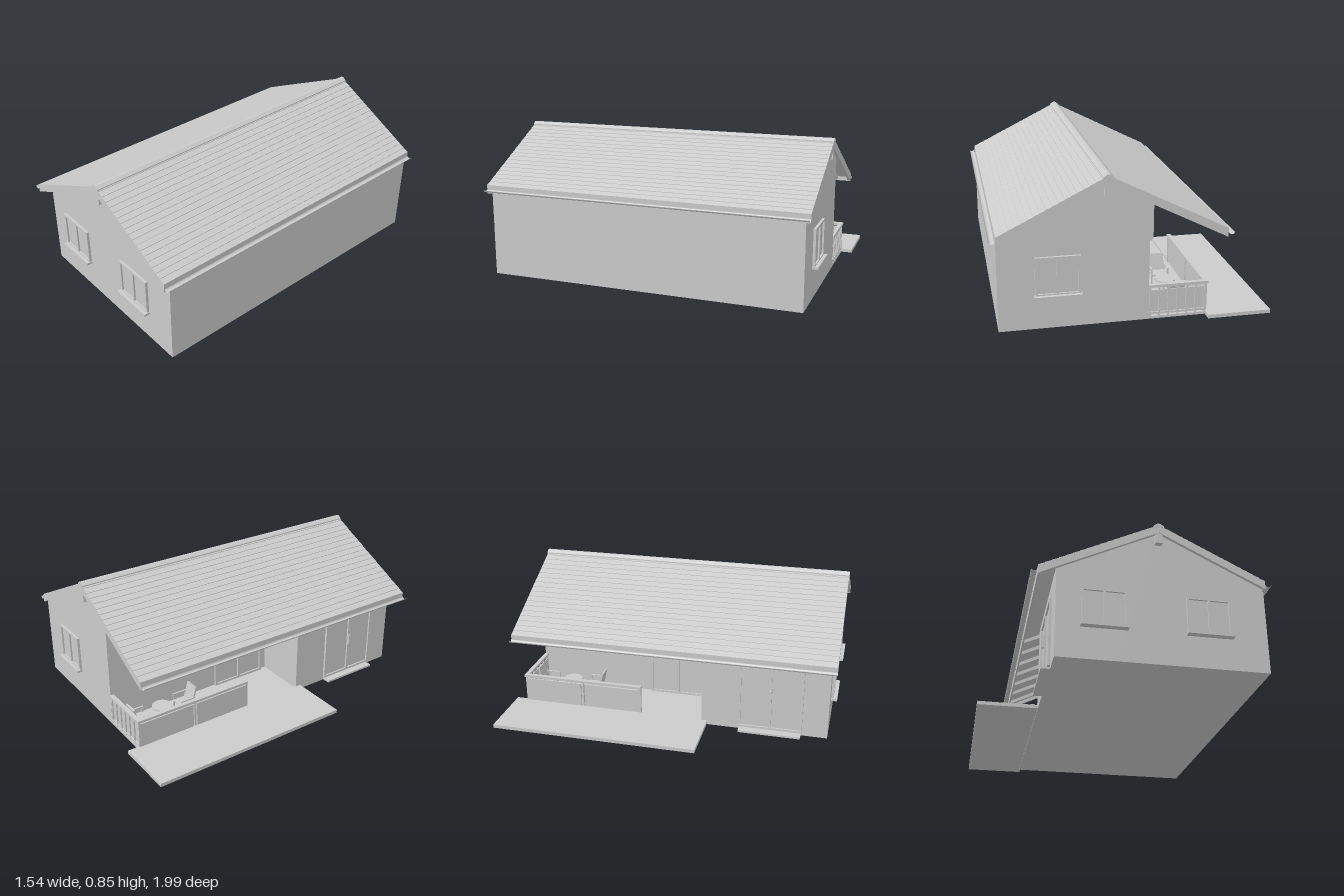
import * as THREE from 'three';

const grey = new THREE.MeshStandardMaterial({ color: 0xcccccc, flatShading: true });
const open = new THREE.MeshStandardMaterial({ color: 0xcccccc, side: THREE.DoubleSide });

const RIDGE = 0.14, LEFT = -0.52, RIGHT = 0.73;   // roof lines in x
const FRONT = 0.955, BACK = -0.93;                // gable walls in z
const INNER = -0.09, PORCH = 0.2;                 // porch recess
const roofY = (x, drop = 0) => 0.84 - Math.abs(x - RIDGE) * 0.5 - drop;

function add(parent, name, geo, x = 0, y = 0, z = 0, mat = grey) {
  const m = new THREE.Mesh(geo, mat);
  m.name = name;
  m.position.set(x, y, z);
  parent.add(m);
  return m;
}

// box given by its minimum and maximum corners
function block(parent, name, x0, x1, y0, y1, z0, z1) {
  return add(parent, name, new THREE.BoxGeometry(x1 - x0, y1 - y0, z1 - z0),
    (x0 + x1) / 2, (y0 + y1) / 2, (z0 + z1) / 2);
}

// xy outline extruded from z0 to z1
function prism(parent, name, pts, z0, z1) {
  const shape = new THREE.Shape(pts.map(p => new THREE.Vector2(...p)));
  return add(parent, name, new THREE.ExtrudeGeometry(shape, { depth: z1 - z0, bevelEnabled: false }), 0, 0, z0);
}

// framed glazing, facing +z, standing on its local y = 0
function glazing(parent, name, w, h, panes, sill) {
  const g = new THREE.Group();
  g.name = name;
  const f = 0.013, pw = (w - f) / panes;
  const frame = new THREE.Shape([[-w / 2, 0], [w / 2, 0], [w / 2, h], [-w / 2, h]].map(p => new THREE.Vector2(...p)));
  for (let i = 0; i < panes; i++) {
    const x0 = -w / 2 + f + i * pw, x1 = x0 + pw - f;
    frame.holes.push(new THREE.Path([[x0, f], [x0, h - f], [x1, h - f], [x1, f]].map(p => new THREE.Vector2(...p))));
  }
  add(g, 'frame', new THREE.ExtrudeGeometry(frame, { depth: 0.015, bevelEnabled: false }));
  block(g, 'glass', -w / 2 + f, w / 2 - f, f, h - f, 0, 0.005);
  if (sill) block(g, 'sill', -w / 2 - 0.006, w / 2 + 0.006, -0.008, 0.006, 0, 0.036);
  parent.add(g);
  return g;
}

function chair(parent, x, z, turn) {
  const g = new THREE.Group();
  g.name = 'chair';
  block(g, 'seat', -0.045, 0.045, 0.075, 0.085, -0.045, 0.045);
  const back = block(g, 'backrest', -0.045, 0.045, 0.08, 0.18, -0.055, -0.045);
  back.rotation.x = -0.25;
  for (const sx of [-1, 1]) {
    block(g, 'armrest', sx * 0.05 - 0.005, sx * 0.05 + 0.005, 0.115, 0.122, -0.05, 0.045);
    for (const sz of [-1, 1])
      block(g, 'leg', sx * 0.048 - 0.004, sx * 0.048 + 0.004, 0, 0.118, sz * 0.04 - 0.004, sz * 0.04 + 0.004);
  }
  g.position.set(x, 0.015, z);
  g.rotation.y = turn;
  parent.add(g);
}

export function createModel() {
  const house = new THREE.Group();
  house.name = 'house';

  // floor and walls
  block(house, 'floorSlab', -0.42, RIGHT, 0, 0.015, BACK, FRONT);
  prism(house, 'mainWalls', [[INNER, 0], [RIGHT, 0], [RIGHT, roofY(RIGHT, 0.03)], [RIDGE, roofY(RIDGE, 0.03)],
    [INNER, roofY(INNER, 0.03)]], BACK, FRONT);
  prism(house, 'wingWalls', [[-0.42, 0], [INNER, 0], [INNER, roofY(INNER, 0.03)], [-0.42, roofY(-0.42, 0.03)]], PORCH, FRONT);

  // roof slopes with shallow tile courses
  const roof = new THREE.Group();
  roof.name = 'roof';
  house.add(roof);
  for (const [name, eave] of [['leftSlope', LEFT], ['rightSlope', RIGHT]]) {
    const pts = [[RIDGE, roofY(RIDGE, 0.028)], [eave, roofY(eave, 0.028)]];
    const n = 18;
    for (let i = 0; i < n; i++) {
      const a = eave + (RIDGE - eave) * i / n, b = eave + (RIDGE - eave) * (i + 1) / n;
      pts.push([a, roofY(a)], [b, roofY(b, 0.003)]);
    }
    if (eave > RIDGE) pts.reverse();
    prism(roof, name, pts, -0.955, 0.99);
    // verge boards along both gables
    for (const z of [-0.955, 0.972]) {
      const board = [[RIDGE, roofY(RIDGE, 0.052)], [eave, roofY(eave, 0.052)], [eave, roofY(eave, 0.003)], [RIDGE, roofY(RIDGE, 0.003)]];
      prism(roof, 'vergeBoard', eave > RIDGE ? board.reverse() : board, z, z + 0.018);
    }
    // fascia and half-round gutter
    const s = Math.sign(eave - RIDGE);
    block(roof, 'fascia', Math.min(eave, eave - s * 0.01), Math.max(eave, eave - s * 0.01),
      roofY(eave, 0.05), roofY(eave, 0.005), -0.955, 0.99);
    const gutter = add(roof, 'gutter', new THREE.CylinderGeometry(0.016, 0.016, 1.945, 12, 1, true, -Math.PI / 2, Math.PI),
      eave + s * 0.02, roofY(eave, 0.026), 0.0175, open);
    gutter.rotation.x = Math.PI / 2;
    gutter.scale.z = 0.8;
  }
  // ridge cap and projecting ridge beam
  prism(roof, 'ridgeCap', [[RIDGE - 0.028, roofY(0.168, 0.004)], [RIDGE + 0.028, roofY(0.168, 0.004)],
    [RIDGE + 0.028, roofY(0.168) + 0.006], [RIDGE + 0.008, 0.846], [RIDGE - 0.008, 0.846],
    [RIDGE - 0.028, roofY(0.168) + 0.006]], -0.957, 0.992);
  block(roof, 'ridgeBeam', RIDGE - 0.02, RIDGE + 0.02, 0.725, 0.8, -0.953, 0.985);

  // rafters exposed over the porch
  for (let i = 0; i < 7; i++) {
    const z = -0.86 + i * 0.165;
    prism(roof, 'rafter', [[LEFT + 0.01, roofY(LEFT + 0.01, 0.05)], [INNER, roofY(INNER, 0.06)],
      [INNER, roofY(INNER, 0.026)], [LEFT + 0.01, roofY(LEFT + 0.01, 0.026)]], z - 0.012, z + 0.012);
  }

  // gable windows
  for (const x of [-0.162, 0.408])
    glazing(house, 'frontWindow', 0.245, 0.22, 2, true).position.set(x, 0.19, FRONT);
  const rear = glazing(house, 'backWindow', 0.245, 0.22, 2, true);
  rear.position.set(0.408, 0.19, BACK);
  rear.rotation.y = Math.PI;

  // side entrance with handle and step
  const door = glazing(house, 'sideDoor', 0.38, 0.4, 2, false);
  door.position.set(-0.42, 0.02, 0.615);
  door.rotation.y = -Math.PI / 2;
  block(door, 'handle', -0.005, 0.005, 0.19, 0.26, 0.015, 0.026);
  block(house, 'doorStep', -0.47, -0.42, 0, 0.012, 0.43, 0.8);

  // glazed door and lamp on the porch wall
  const porchDoor = glazing(house, 'porchDoor', 0.36, 0.4, 2, false);
  porchDoor.position.set(INNER, 0.015, -0.02);
  porchDoor.rotation.y = -Math.PI / 2;
  block(house, 'wallLamp', INNER - 0.03, INNER, 0.34, 0.38, -0.77, -0.73);

  // porch railing: slatted on the end, solid panels along the side
  const rail = new THREE.Group();
  rail.name = 'porchRailing';
  house.add(rail);
  block(rail, 'endTopRail', -0.425, INNER, 0.185, 0.2, BACK - 0.005, BACK + 0.02);
  block(rail, 'endBottomRail', -0.42, INNER, 0.025, 0.037, BACK, BACK + 0.015);
  block(rail, 'endPanel', -0.41, INNER, 0.037, 0.165, BACK + 0.008, BACK + 0.014);
  for (let i = 0; i < 7; i++) {
    const x = -0.41 + i * 0.052;
    block(rail, 'slat', x - 0.005, x + 0.005, 0.015, 0.185, BACK, BACK + 0.012);
  }
  block(rail, 'sideTopRail', -0.425, -0.4, 0.185, 0.2, BACK, -0.18);
  for (const z of [BACK, -0.555]) block(rail, 'sidePanel', -0.42, -0.41, 0.025, 0.175, z + 0.012, z + 0.363);
  for (const z of [BACK, -0.561, -0.192]) block(rail, 'railPost', -0.42, -0.405, 0.01, 0.19, z, z + 0.012);

  // porch furniture
  chair(house, -0.26, -0.83, 0);
  chair(house, -0.25, -0.53, Math.PI);
  add(house, 'tableTop', new THREE.CylinderGeometry(0.06, 0.06, 0.008, 20), -0.25, 0.12, -0.68);
  add(house, 'tableLeg', new THREE.CylinderGeometry(0.008, 0.03, 0.105, 12), -0.25, 0.066, -0.68);

  // paved terrace beside the porch
  block(house, 'terrace', -0.77, -0.41, 0.005, 0.026, -1, 0.235);

  return house;
}
